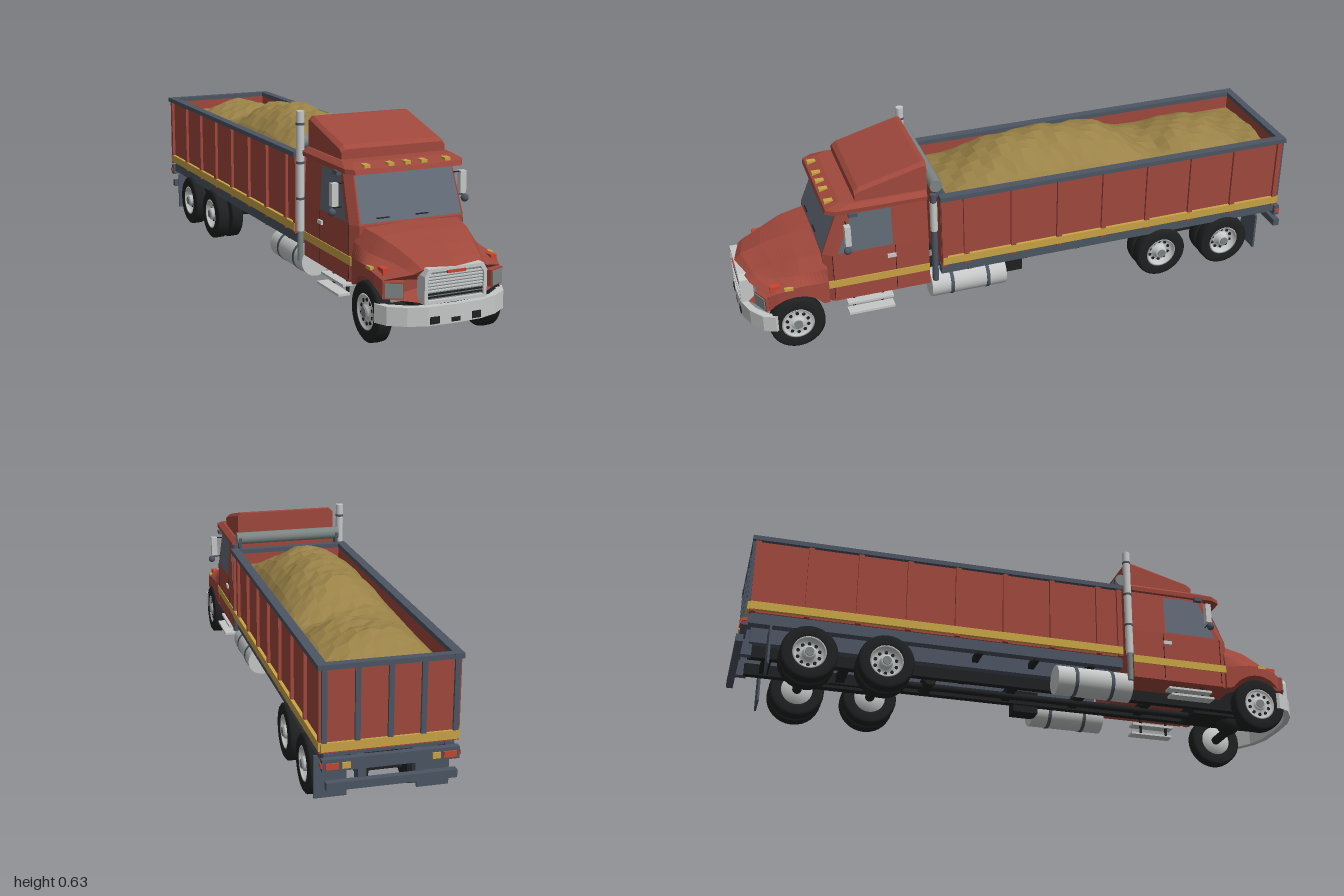
import * as THREE from 'three';

const mat = (name, color, side = THREE.FrontSide) => {
  const m = new THREE.MeshStandardMaterial({ color, side });
  m.name = name;
  return m;
};

export function createModel() {
  const root = new THREE.Group();
  root.name = 'dumpTruck';
  const red = mat('paintRed', 0xa0483c), glass = mat('windowGlass', 0x626b77, THREE.DoubleSide);
  const frame = mat('frameGrey', 0x4c5562), black = mat('rubberBlack', 0x1f2021);
  const silver = mat('silver', 0xc6c8c8), steel = mat('steelGrey', 0x7c8484);
  const sand = mat('sand', 0x9a8247), yellow = mat('stripeYellow', 0xc9a445), lamp = mat('lampRed', 0xc8452f);

  const add = (name, geo, m, x = 0, y = 0, z = 0, parent = root) => {
    const mesh = new THREE.Mesh(geo, m);
    mesh.name = name;
    mesh.position.set(x, y, z);
    parent.add(mesh);
    return mesh;
  };
  // Box given by its min and max on each axis
  const box = (name, m, x0, x1, y0, y1, z0, z1) =>
    add(name, new THREE.BoxGeometry(x1 - x0, y1 - y0, z1 - z0), m, (x0 + x1) / 2, (y0 + y1) / 2, (z0 + z1) / 2);
  // Same box on both sides of the truck
  const boxes = (name, m, x0, x1, ...r) => {
    box(name, m, x0, x1, ...r);
    box(name, m, -x1, -x0, ...r);
  };
  const cyl = (name, m, r, len, axis, x, y, z, n = 16) => {
    const g = new THREE.CylinderGeometry(r, r, len, n);
    if (axis === 'x') g.rotateZ(Math.PI / 2);
    if (axis === 'z') g.rotateX(Math.PI / 2);
    return add(name, g, m, x, y, z);
  };
  const faces = (tris) => {
    const g = new THREE.BufferGeometry().setFromPoints(tris.map((p) => new THREE.Vector3(...p)));
    g.computeVertexNormals();
    return g;
  };
  const quad = (name, m, a, b, c, d) => add(name, faces([a, b, c, a, c, d]), m);
  // Skin over cross-sections, with fan caps at both ends
  const loft = (rings) => {
    const t = [], n = rings[0].length;
    const mid = (r) => [0, 1, 2].map((k) => r.reduce((s, p) => s + p[k], 0) / n);
    const first = rings[0], last = rings[rings.length - 1], cf = mid(first), cl = mid(last);
    for (let j = 0; j < n; j++) {
      const k = (j + 1) % n;
      for (let i = 0; i + 1 < rings.length; i++) {
        const [a, b, c, d] = [rings[i][j], rings[i][k], rings[i + 1][k], rings[i + 1][j]];
        t.push(a, b, c, a, c, d);
      }
      t.push(cf, first[k], first[j], cl, last[j], last[k]);
    }
    return faces(t);
  };

  // Hood and fenders: sections along z, nose swept back, wheel arches cut into the lower edge
  const arch = (z) => Math.max(0.15, 0.095 + Math.sqrt(Math.max(0, 0.0117 - (z - 0.826) ** 2)));
  // z, top y, crown x, crown y, shoulder x, shoulder y, fender x, fender y
  const key = [
    [0.71, 0.332, 0.165, 0.326, 0.192, 0.28, 0.2, 0.23],
    [0.8, 0.323, 0.15, 0.314, 0.182, 0.265, 0.212, 0.24],
    [0.9, 0.3, 0.125, 0.29, 0.155, 0.256, 0.213, 0.238],
    [0.97, 0.276, 0.11, 0.266, 0.135, 0.246, 0.21, 0.228],
    [0.993, 0.255, 0.1, 0.25, 0.125, 0.236, 0.2, 0.215]];
  const hoodRings = [];
  for (let i = 0; i < 4; i++) {
    const steps = 7;
    for (let s = 0; s < steps + (i === 3 ? 1 : 0); s++) {
      const [z, yt, xc, yc, xs, ys, xf, yf] = key[i].map((v, k) => v + (key[i + 1][k] - v) * s / steps);
      const half = [[0.1, 0], [xf, 0], [xf, yf], [xs, ys], [xc, yc]];
      const ring = [...half, [0, yt], ...half.map(([x, y]) => [-x, y]).reverse()];
      const sweep = 2 * THREE.MathUtils.smoothstep(z, 0.8, 0.97);
      hoodRings.push(ring.map(([x, y]) => {
        const zz = z - sweep * x * x;
        return [x, y || arch(zz), zz];
      }));
    }
  }
  add('hoodAndFenders', loft(hoodRings), red);

  // Grille: frame, backing, horizontal bars
  const grilleShape = (w, h) => {
    const p = new THREE.Path();
    p.moveTo(-w, -h); p.lineTo(w, -h); p.lineTo(w, h * 0.6); p.lineTo(w * 0.88, h);
    p.lineTo(-w * 0.88, h); p.lineTo(-w, h * 0.6); p.closePath();
    return p;
  };
  const gs = new THREE.Shape(grilleShape(0.105, 0.053).getPoints());
  gs.holes.push(grilleShape(0.094, 0.043));
  add('grilleFrame', new THREE.ExtrudeGeometry(gs, { depth: 0.045, bevelEnabled: false }), silver, 0, 0.203, 0.95);
  box('grilleBacking', steel, -0.095, 0.095, 0.16, 0.245, 0.94, 0.983);
  for (let i = 0; i < 8; i++) {
    const y = 0.166 + i * 0.0095;
    box('grilleBar', i < 2 ? black : silver, -0.094, 0.094, y, y + 0.004, 0.98, 0.99);
  }
  box('grilleBadgePlate', lamp, -0.03, 0.03, 0.239, 0.248, 0.985, 0.998);

  // Bumper bent back at both ends
  const outer = [[0.22, 0.9], [0.2, 0.94], [0.15, 0.975], [0.09, 0.995], [0, 1]];
  const mirrored = (pts) => [...pts, ...pts.slice(0, -1).map(([x, z]) => [-x, z]).reverse()];
  const bs = new THREE.Shape([...mirrored(outer),
    ...mirrored(outer.map(([x, z]) => [x * 0.93, z - 0.02])).reverse()].map(([x, z]) => new THREE.Vector2(x, -z)));
  const bg = new THREE.ExtrudeGeometry(bs, { depth: 0.058, bevelEnabled: false }).rotateX(-Math.PI / 2);
  add('bumper', bg, silver, 0, 0.085, 0);
  boxes('towHookOpening', black, 0.055, 0.085, 0.09, 0.112, 0.98, 0.999);
  box('bumperSlot', black, -0.015, 0.015, 0.09, 0.104, 0.985, 1);
  for (const s of [1, -1]) {
    const h = add('headlight', new THREE.BoxGeometry(0.052, 0.044, 0.03), steel, s * 0.17, 0.187, 0.928);
    const b = add('headlightBezel', new THREE.BoxGeometry(0.06, 0.052, 0.03), red, s * 0.17, 0.187, 0.924);
    h.rotation.y = b.rotation.y = s * 0.45;
    box('turnSignal', lamp, s * 0.184 - 0.01, s * 0.184 + 0.01, 0.226, 0.246, 0.87, 0.905);
    box('sideMarker', yellow, s * 0.207 - 0.006, s * 0.207 + 0.006, 0.232, 0.242, 0.83, 0.86);
  }

  // Cab: sections along y with cut front corners
  const cabRing = (y, w, zf) => [[w, y, zf - 0.03], [w, y, 0.36], [-w, y, 0.36], [-w, y, zf - 0.03],
    [-w + 0.02, y, zf], [w - 0.02, y, zf]];
  add('cab', loft([cabRing(0.15, 0.2, 0.722), cabRing(0.33, 0.2, 0.722), cabRing(0.487, 0.192, 0.658)]), red);
  add('cabRoof', loft([cabRing(0.485, 0.205, 0.705), cabRing(0.5, 0.207, 0.7), cabRing(0.514, 0.19, 0.65)]), red);
  quad('windshield', glass, [-0.176, 0.336, 0.723], [0.176, 0.336, 0.723], [0.17, 0.482, 0.664], [-0.17, 0.482, 0.664]);
  for (const x of [-0.1, 0.035]) box('wiper', black, x - 0.02, x + 0.025, 0.347, 0.35, 0.717, 0.722);
  for (const s of [1, -1]) {
    quad('doorWindow', glass, [s * 0.2015, 0.335, 0.672], [s * 0.2015, 0.335, 0.484],
      [s * 0.1945, 0.476, 0.484], [s * 0.1945, 0.476, 0.618]);
    for (const z of [0.475, 0.69]) box('doorSeam', black, s * 0.2 - 0.001, s * 0.2 + 0.001, 0.16, 0.33, z, z + 0.002);
  }
  boxes('cabStripe', yellow, 0.198, 0.203, 0.205, 0.232, 0.36, 0.71);
  boxes('doorHandle', silver, 0.198, 0.207, 0.287, 0.3, 0.475, 0.505);
  for (const x of [-0.14, -0.058, 0, 0.057, 0.14]) box('roofMarkerLight', yellow, x - 0.01, x + 0.01, 0.502, 0.512, 0.665, 0.695);

  // Roof fairing, rising toward the rear
  const fair = (z, y0, y1, y2) => [[0.183, y0, z], [0.183, y1, z], [0.17, y2, z], [-0.17, y2, z], [-0.183, y1, z], [-0.183, y0, z]];
  add('roofFairing', loft([fair(0.355, 0.505, 0.6, 0.613), fair(0.37, 0.505, 0.602, 0.614),
    fair(0.585, 0.5, 0.546, 0.557), fair(0.6, 0.5, 0.535, 0.545)]), red);

  // Mirrors and steps
  for (const s of [1, -1]) {
    box('mirror', silver, s * 0.227 - 0.011, s * 0.227 + 0.011, 0.38, 0.453, 0.63, 0.65);
    add('roundMirror', new THREE.SphereGeometry(0.013, 12, 8), frame, s * 0.236, 0.363, 0.645);
    for (const y of [0.375, 0.45]) cyl('mirrorArm', black, 0.002, 0.04, 'x', s * 0.21, y, 0.64, 6);
    box('mirrorHousing', frame, s * 0.205 - 0.008, s * 0.205 + 0.008, 0.473, 0.486, 0.6, 0.63);
    for (const [x, y] of [[0.195, 0.095], [0.18, 0.125]]) {
      box('step', silver, s * x - 0.02, s * x + 0.02, y - 0.004, y + 0.004, 0.49, 0.65);
      for (const z of [0.52, 0.62]) box('stepBracket', black, s * 0.17 - 0.004, s * 0.17 + 0.004, y, 0.16, z, z + 0.008);
    }
  }

  // Exhaust stack, opposite air pipe, rolled cover
  cyl('exhaustStack', silver, 0.0135, 0.4, 'y', -0.207, 0.43, 0.343);
  cyl('exhaustLower', steel, 0.01, 0.12, 'y', -0.207, 0.19, 0.343);
  for (const y of [0.34, 0.46, 0.588]) cyl('stackClamp', frame, 0.0145, 0.008, 'y', -0.207, y, 0.343);
  cyl('airPipe', frame, 0.011, 0.34, 'y', 0.2, 0.33, 0.34);
  cyl('airPipeGuard', silver, 0.013, 0.11, 'y', 0.2, 0.415, 0.34);
  cyl('coverRoll', steel, 0.022, 0.39, 'x', 0, 0.525, 0.327);
  boxes('coverRollBracket', frame, 0.18, 0.19, 0.48, 0.53, 0.305, 0.33);

  // Cargo body
  boxes('bodySide', red, 0.192, 0.205, 0.215, 0.48, -0.965, 0.318);
  box('bodyFront', red, -0.2, 0.2, 0.215, 0.48, 0.3, 0.317);
  box('tailgate', red, -0.2, 0.2, 0.215, 0.48, -0.965, -0.95);
  box('bodyFloor', frame, -0.2, 0.2, 0.203, 0.222, -0.96, 0.315);
  boxes('sideRim', frame, 0.19, 0.22, 0.474, 0.49, -0.975, 0.32);
  for (const z of [-0.96, 0.308]) box('endRim', frame, -0.2, 0.2, 0.474, 0.49, z - 0.014, z + 0.012);
  boxes('bodyStripe', yellow, 0.2, 0.216, 0.222, 0.25, -0.965, 0.316);
  box('tailgateStripe', yellow, -0.21, 0.21, 0.222, 0.25, -0.973, -0.96);
  for (const z of [0.308, 0.23, 0.06, -0.108, -0.276, -0.444, -0.612, -0.78, -0.955])
    boxes('sideRib', red, 0.2, 0.215, 0.215, 0.478, z - 0.009, z + 0.009);
  for (const x of [-0.2, -0.1, 0, 0.1, 0.2]) box('tailgatePost', frame, x - 0.008, x + 0.008, 0.25, 0.478, -0.974, -0.96);

  // Sand heap
  const sandGeo = new THREE.PlaneGeometry(0.385, 1.255, 10, 36).rotateX(-Math.PI / 2).translate(0, 0, -0.325);
  const sp = sandGeo.attributes.position;
  const bump = (z, c, w) => Math.exp(-(((z - c) / w) ** 4));
  for (let i = 0; i < sp.count; i++) {
    const x = sp.getX(i), z = sp.getZ(i), across = Math.cos(x / 0.1925 * Math.PI / 2) ** 0.8 || 0;
    const h = 0.105 * bump(z, -0.12, 0.32) + 0.055 * bump(z, -0.68, 0.13) + 0.025 * bump(z, -0.35, 0.6);
    const rough = 0.006 * Math.sin(z * 31 + x * 17) + 0.005 * Math.sin(z * 57 - x * 43);
    sp.setY(i, 0.425 + (h + rough) * across + 0.01 * bump(z, -0.1, 0.4));
  }
  const sandFlat = sandGeo.toNonIndexed();
  sandFlat.computeVertexNormals();
  add('sandLoad', sandFlat, sand);

  // Chassis
  boxes('bodySubRail', frame, 0.08, 0.115, 0.15, 0.205, -0.95, 0.3);
  boxes('bodySkirt', frame, 0.17, 0.2, 0.178, 0.21, -0.965, 0.318);
  boxes('chassisRail', black, 0.06, 0.085, 0.11, 0.15, -0.95, 0.9);
  for (const z of [-0.9, -0.64, -0.35, -0.05, 0.2, 0.45]) box('crossMember', black, -0.08, 0.08, 0.115, 0.14, z, z + 0.03);
  for (const z of [-0.2, 0, 0.2]) box('floorBeam', black, -0.19, 0.19, 0.17, 0.19, z, z + 0.02);
  box('engine', black, -0.06, 0.06, 0.1, 0.2, 0.64, 0.94);
  add('oilPan', new THREE.SphereGeometry(0.045, 16, 10), black, 0, 0.1, 0.8);
  cyl('driveShaft', black, 0.012, 1.25, 'z', 0, 0.11, 0.1);
  cyl('airTank', black, 0.022, 0.1, 'x', 0, 0.12, -0.33);
  box('batteryBox', black, 0.07, 0.13, 0.085, 0.165, 0.0, 0.09);

  // Fuel tanks with straps
  for (const s of [1, -1]) {
    cyl('fuelTank', silver, 0.051, 0.27, 'z', s * 0.155, 0.122, 0.218, 28);
    for (const z of [0.15, 0.28]) cyl('tankStrap', frame, 0.053, 0.012, 'z', s * 0.155, 0.122, z, 28);
  }

  // Wheels: outer side of every wheel along its own +y before turning
  const lathe = (pts) => new THREE.LatheGeometry(pts.map(([r, y]) => new THREE.Vector2(r, y)), 32);
  const tyreGeo = lathe([[0.054, -0.02], [0.06, -0.025], [0.086, -0.024], [0.094, -0.018], [0.095, 0],
    [0.094, 0.018], [0.086, 0.024], [0.06, 0.025], [0.054, 0.02], [0.054, -0.02]]);
  const wheel = (name, x, z, dish) => {
    const g = new THREE.Group();
    g.name = name;
    g.position.set(x, 0.095, z);
    g.rotation.z = x > 0 ? -Math.PI / 2 : Math.PI / 2;
    root.add(g);
    add('tyre', tyreGeo, black, 0, 0, 0, g);
    add('rim', lathe([[0, -0.02], [0.056, -0.02], [0.056, 0.022], [0.05, 0.022], [0.046, dish], [0.024, dish + 0.003],
      [0.022, 0.022], [0.014, 0.026], [0, 0.026]]), silver, 0, 0, 0, g);
    add('hubCap', new THREE.CylinderGeometry(0.015, 0.015, 0.006, 16), steel, 0, 0.026, 0, g);
    for (let i = 0; i < 10; i++) {
      const a = i * Math.PI / 5;
      add('rimHole', new THREE.CylinderGeometry(0.006, 0.006, 0.004, 8), black, 0.037 * Math.cos(a), dish + 0.002, 0.037 * Math.sin(a), g);
    }
  };
  for (const s of [1, -1]) {
    wheel('frontWheel', s * 0.189, 0.826, 0.014);
    for (const z of [-0.51, -0.763]) {
      wheel('rearOuterWheel', s * 0.189, z, 0.0);
      wheel('rearInnerWheel', s * 0.133, z, 0.0);
    }
    box('leafSpring', black, s * 0.09 - 0.015, s * 0.09 + 0.015, 0.1, 0.115, -0.78, -0.49);
  }
  for (const z of [0.826, -0.51, -0.763]) {
    cyl('axle', black, 0.016, 0.34, 'x', 0, 0.095, z);
    if (z < 0) add('differential', new THREE.SphereGeometry(0.04, 14, 10), black, 0, 0.1, z);
  }

  // Rear: flaps, light bar, lower bar
  boxes('mudFlap', frame, 0.11, 0.212, 0.04, 0.178, -0.895, -0.888);
  box('lightBar', frame, -0.21, 0.21, 0.165, 0.203, -0.985, -0.965);
  box('rearLowerBar', frame, -0.2, 0.2, 0.11, 0.135, -0.998, -0.975);
  boxes('rearBarHanger', frame, 0.075, 0.1, 0.11, 0.2, -0.98, -0.94);
  boxes('tailLight', lamp, 0.16, 0.2, 0.173, 0.192, -0.99, -0.98);
  boxes('rearSignal', yellow, 0.125, 0.15, 0.173, 0.192, -0.99, -0.98);
  boxes('rearSideMarker', lamp, 0.208, 0.214, 0.178, 0.19, -0.985, -0.968);
  return root;
}
